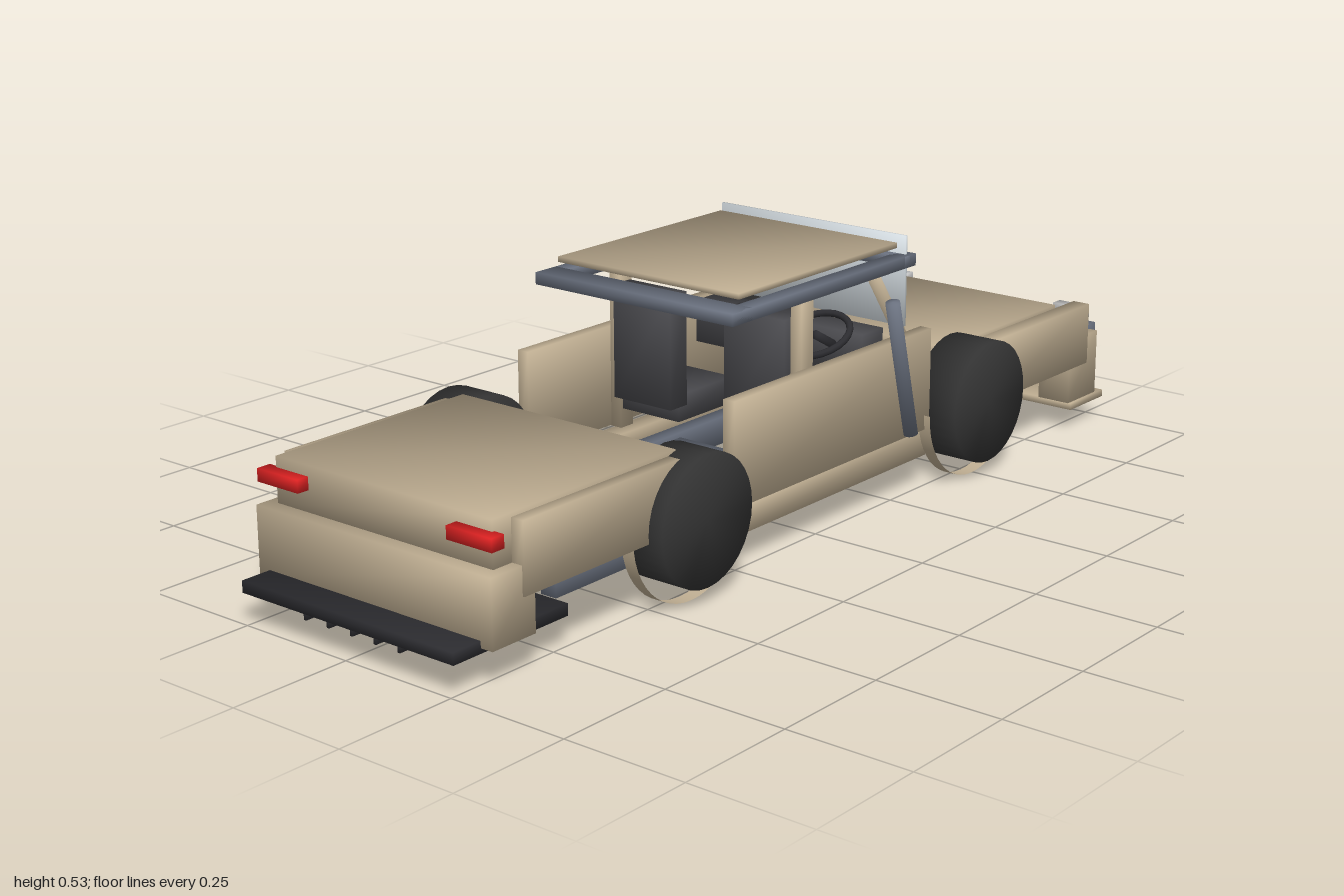
import * as THREE from 'three';

const mat = (color, side = THREE.FrontSide) => new THREE.MeshStandardMaterial({ color, side });

// Soft-edged shading: corners that coincide share the sum of their normals.
function soften(geo) {
  const p = geo.attributes.position, n = geo.attributes.normal, sums = new Map();
  const key = i => [p.getX(i), p.getY(i), p.getZ(i)].map(v => Math.round(v * 1e4)).join();
  for (let i = 0; i < p.count; i++) {
    const k = key(i);
    if (!sums.has(k)) sums.set(k, new THREE.Vector3());
    sums.get(k).add(new THREE.Vector3().fromBufferAttribute(n, i));
  }
  for (let i = 0; i < p.count; i++) {
    const v = sums.get(key(i)).clone().normalize();
    n.setXYZ(i, v.x, v.y, v.z);
  }
  return geo;
}

export function createModel() {
  const car = new THREE.Group();
  car.name = 'car';
  const paint = mat(0xbfae92), steel = mat(0x6b7280), rubber = mat(0x333333);
  const black = mat(0x2c2c30), seatCloth = mat(0x4a4a4e), glass = mat(0xd5dde2, THREE.DoubleSide);
  const red = mat(0xdd2222), lamp = mat(0xeeeeee), flare = mat(0xbfae92, THREE.DoubleSide);

  const add = (name, geo, material) => {
    const m = new THREE.Mesh(geo, material);
    m.name = name;
    car.add(m);
    return m;
  };
  // Box given by its limits on each axis.
  const box = (name, material, [x0, x1], [y0, y1], [z0, z1]) => {
    const m = add(name, soften(new THREE.BoxGeometry(x1 - x0, y1 - y0, z1 - z0)), material);
    m.position.set((x0 + x1) / 2, (y0 + y1) / 2, (z0 + z1) / 2);
    return m;
  };
  // The same box on both sides of the car.
  const pair = (name, material, [x0, x1], y, z) => {
    box(name + 'Left', material, [x0, x1], y, z);
    box(name + 'Right', material, [-x1, -x0], y, z);
  };
  // Round bar between two points.
  const rod = (name, material, a, b, r, sides = 16) => {
    const from = new THREE.Vector3(...a), to = new THREE.Vector3(...b), d = to.clone().sub(from);
    const m = add(name, soften(new THREE.CylinderGeometry(r, r, d.length(), sides)), material);
    m.position.copy(from).add(to).multiplyScalar(0.5);
    m.quaternion.setFromUnitVectors(new THREE.Vector3(0, 1, 0), d.normalize());
    return m;
  };

  // Ladder chassis
  pair('chassisRail', steel, [0.14, 0.175], [0.052, 0.11], [-0.74, 0.66]);
  for (const z of [-0.5, -0.27, -0.04, 0.18, 0.41])
    box('crossMember', steel, [-0.14, 0.14], [0.06, 0.1], [z - 0.022, z + 0.022]);

  // Wheels, axles and the thin arcs beneath the wheels
  for (const z of [0.415, -0.497]) {
    rod('axle', steel, [-0.23, 0.16, z], [0.23, 0.16, z], 0.008);
    for (const s of [1, -1]) {
      rod('wheel', rubber, [s * 0.22, 0.16, z], [s * 0.32, 0.16, z], 0.127, 32);
      const arc = new THREE.CylinderGeometry(0.16, 0.16, 0.028, 24, 1, true, 0, Math.PI);
      arc.rotateZ(Math.PI / 2).rotateX(0);
      arc.computeBoundingBox();
      // keep the arc on the underside
      if (arc.boundingBox.max.y > 0.1) arc.rotateX(Math.PI);
      add('wheelArc', arc, flare).position.set(s * 0.268, 0.16, z);
    }
  }

  // Rear body
  box('trunk', paint, [-0.262, 0.262], [0.2, 0.288], [0.435, 0.905]);
  pair('rearQuarterPanel', paint, [0.262, 0.289], [0.145, 0.28], [0.44, 0.86]);
  box('rearBumper', paint, [-0.285, 0.285], [0.07, 0.2], [0.83, 0.935]);
  pair('tailLight', red, [0.18, 0.284], [0.242, 0.267], [0.9, 0.93]);
  box('diffuser', black, [-0.258, 0.258], [0.06, 0.083], [0.72, 1]);
  for (let i = -2; i <= 2; i++)
    box('diffuserFin', black, [i * 0.0575 - 0.003, i * 0.0575 + 0.003], [0.04, 0.062], [0.73, 0.985]);

  // Front body
  box('hood', paint, [-0.21, 0.207], [0.215, 0.255], [-0.925, -0.495]);
  pair('frontFender', paint, [0.25, 0.289], [0.138, 0.27], [-0.93, -0.56]);
  pair('frontBumperCorner', paint, [0.21, 0.285], [0.06, 0.2], [-0.975, -0.865]);
  box('grille', steel, [-0.265, 0.265], [0.085, 0.21], [-1, -0.945]);
  box('splitter', paint, [-0.29, 0.29], [0.045, 0.06], [-1, -0.868]);
  pair('headlight', lamp, [0.195, 0.27], [0.23, 0.256], [-0.963, -0.935]);
  for (const x of [-0.25, -0.215, 0.215, 0.25])
    rod('headlightLens', lamp, [x, 0.243, -0.96], [x, 0.243, -0.969], 0.011);

  // Doors and sills
  pair('door', paint, [0.242, 0.268], [0.13, 0.338], [-0.355, 0.275]);
  pair('sill', paint, [0.205, 0.25], [0.065, 0.12], [-0.37, 0.29]);

  // Roof, its frame and the pillars
  pair('roofSideRail', steel, [0.207, 0.242], [0.468, 0.492], [-0.333, 0.248]);
  box('roofFrontRail', steel, [-0.242, 0.242], [0.468, 0.492], [-0.333, -0.295]);
  box('roofRearRail', steel, [-0.242, 0.242], [0.468, 0.492], [0.19, 0.248]);
  box('roofPanel', paint, [-0.222, 0.222], [0.507, 0.518], [-0.295, 0.205]);
  pair('centrePillar', paint, [0.213, 0.239], [0.13, 0.47], [0, 0.036]);
  for (const s of [1, -1])
    rod('windscreenPillar', paint, [s * 0.212, 0.47, -0.225], [s * 0.212, 0.24, -0.385], 0.013);

  // Glass
  box('windscreen', glass, [-0.232, 0.232], [0.345, 0.53], [-0.317, -0.312]);
  box('rearGlass', glass, [-0.195, 0.19], [0.205, 0.225], [0.33, 0.44]);
  box('lowerFrontGlass', glass, [-0.195, 0.19], [0.195, 0.215], [-0.5, -0.43]);

  // Interior
  for (const x of [-0.14, 0.14]) {
    box('seatBack', seatCloth, [x - 0.073, x + 0.073], [0.2, 0.433], [0.005, 0.055]);
    box('seatCushion', seatCloth, [x - 0.073, x + 0.073], [0.17, 0.225], [-0.14, 0.03]);
  }
  box('dashboard', seatCloth, [-0.21, 0.21], [0.26, 0.348], [-0.27, -0.2]);
  const steering = add('steeringWheel', new THREE.TorusGeometry(0.07, 0.007, 8, 24), black);
  steering.position.set(0.14, 0.35, -0.14);
  steering.rotation.x = -Math.PI / 2 + 0.42;
  rod('steeringColumn', black, [0.14, 0.35, -0.14], [0.14, 0.3, -0.23], 0.009);

  // Slanted side pipe
  rod('sidePipe', steel, [0.288, 0.43, -0.19], [0.288, 0.145, -0.262], 0.0145);

  return car;
}
